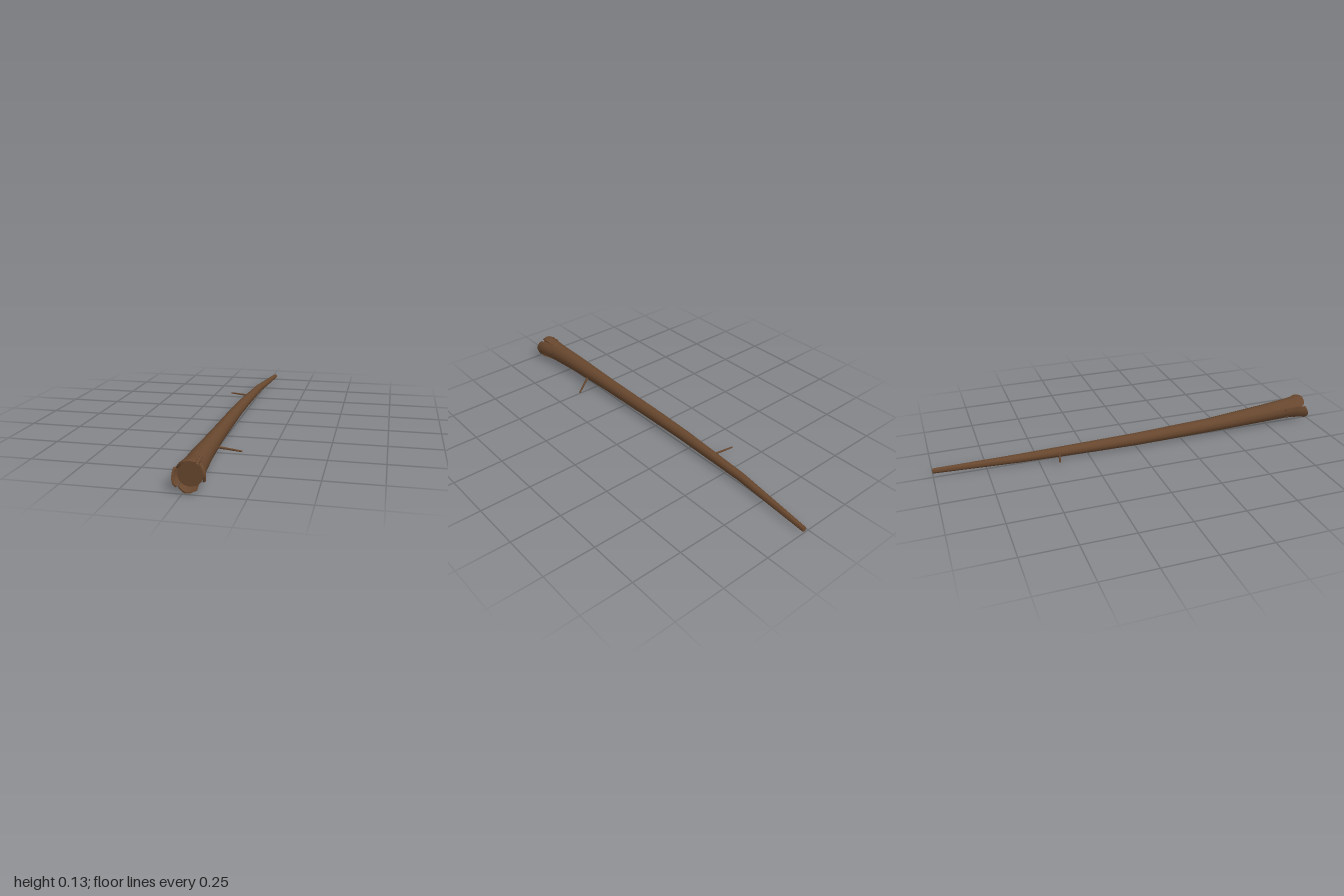
import * as THREE from 'three';
import { mergeVertices, toCreasedNormals } from 'three/addons/utils/BufferGeometryUtils.js';

const bark = new THREE.MeshStandardMaterial({ color: 0x68472e });
bark.name = 'barkBrown';

// Skin a list of equal-length rings (counter-clockwise seen from +z, going toward +z) and close both ends
function loft(rings, name) {
  const n = rings[0].length, pos = [];
  const tri = (...pts) => pts.forEach(p => pos.push(p.x, p.y, p.z));
  for (let k = 0; k < rings.length - 1; k++) {
    for (let i = 0; i < n; i++) {
      const j = (i + 1) % n;
      const a = rings[k][i], b = rings[k][j], c = rings[k + 1][j], d = rings[k + 1][i];
      tri(a, b, c);
      tri(a, c, d);
    }
  }
  const s = rings[0], e = rings[rings.length - 1];
  for (let i = 0; i < n / 2 - 1; i++) {
    const p = n - 1 - i, q = n - 2 - i;
    tri(e[i], e[i + 1], e[p]);
    tri(e[i + 1], e[q], e[p]);
    tri(s[i], s[p], s[i + 1]);
    tri(s[i + 1], s[p], s[q]);
  }
  const g = new THREE.BufferGeometry();
  g.setAttribute('position', new THREE.Float32BufferAttribute(pos, 3));
  const mesh = new THREE.Mesh(toCreasedNormals(mergeVertices(g), 0.65), bark);
  mesh.name = name;
  return mesh;
}

const polar = (cx, cy, r, a, z) => new THREE.Vector3(cx + r * Math.cos(a), cy + r * Math.sin(a), z);

// Torn shell of wood around the broken end: angles in degrees, tip depths spread along the arc
function splinter(from, to, rTip, tips) {
  const seg = 4;
  const stations = [
    { cx: 0.011, cy: 0.067, out: 0.049, inn: 0.04, z: () => 0.85 },
    { cx: 0.017, cy: 0.067, out: 0.056, inn: 0.045, z: () => 0.92 },
    { cx: 0.02, cy: 0.066, out: rTip, inn: rTip - 0.011, z: i => tips[i] - 0.012 },
    { cx: 0.02, cy: 0.066, out: rTip - 0.003, inn: rTip - 0.009, z: i => tips[i] },
  ];
  const rings = stations.map(s => {
    const ring = [];
    for (let i = 0; i <= seg; i++) {
      ring.push(polar(s.cx, s.cy, s.out, THREE.MathUtils.degToRad(from + (to - from) * i / seg), s.z(i)));
    }
    for (let i = seg; i >= 0; i--) {
      ring.push(polar(s.cx, s.cy, s.inn, THREE.MathUtils.degToRad(from + (to - from) * i / seg), s.z(i)));
    }
    return ring;
  });
  return loft(rings, 'splinter');
}

// Thin tapered twig between two points
function twig(a, b, r0, r1, name) {
  const start = new THREE.Vector3(...a), end = new THREE.Vector3(...b);
  const dir = end.clone().sub(start);
  const mesh = new THREE.Mesh(new THREE.CylinderGeometry(r1, r0, dir.length(), 6), bark);
  mesh.position.copy(start).add(end).multiplyScalar(0.5);
  mesh.quaternion.setFromUnitVectors(new THREE.Vector3(0, 1, 0), dir.normalize());
  mesh.name = name;
  return mesh;
}

export function createModel() {
  const group = new THREE.Group();
  group.name = 'brokenBranch';

  // Gently curved, tapering trunk: z, centre x, centre y, radius
  const sections = [
    [-1, 0.027, 0.022, 0.012],
    [-0.6, -0.007, 0.034, 0.021],
    [-0.2, -0.018, 0.041, 0.028],
    [0, -0.019, 0.043, 0.031],
    [0.4, -0.011, 0.051, 0.036],
    [0.7, 0.001, 0.062, 0.045],
    [0.87, 0.013, 0.067, 0.051],
    [0.955, 0.02, 0.066, 0.052],
  ];
  const sides = 12;
  group.add(loft(sections.map(([z, cx, cy, r]) =>
    Array.from({ length: sides }, (_, i) => polar(cx, cy, r, i / sides * Math.PI * 2, z))), 'trunk'));

  // Jagged rim of the broken end
  const rim = new THREE.Group();
  rim.name = 'brokenRim';
  rim.add(
    splinter(-22, 52, 0.065, [0.965, 0.975, 0.975, 0.97, 0.96]),
    splinter(65, 155, 0.063, [0.965, 0.968, 0.97, 0.968, 0.96]),
    splinter(160, 222, 0.071, [0.965, 0.975, 0.985, 0.99, 0.985]),
    splinter(225, 300, 0.064, [0.98, 0.99, 1, 0.995, 0.98]),
  );
  group.add(rim);

  // Side twigs
  group.add(
    twig([0.015, 0.05, 0.558], [0.124, 0.014, 0.492], 0.006, 0.004, 'leftTwig'),
    twig([-0.015, 0.04, -0.397], [-0.128, 0.045, -0.42], 0.006, 0.004, 'rightTwig'),
  );
  return group;
}
